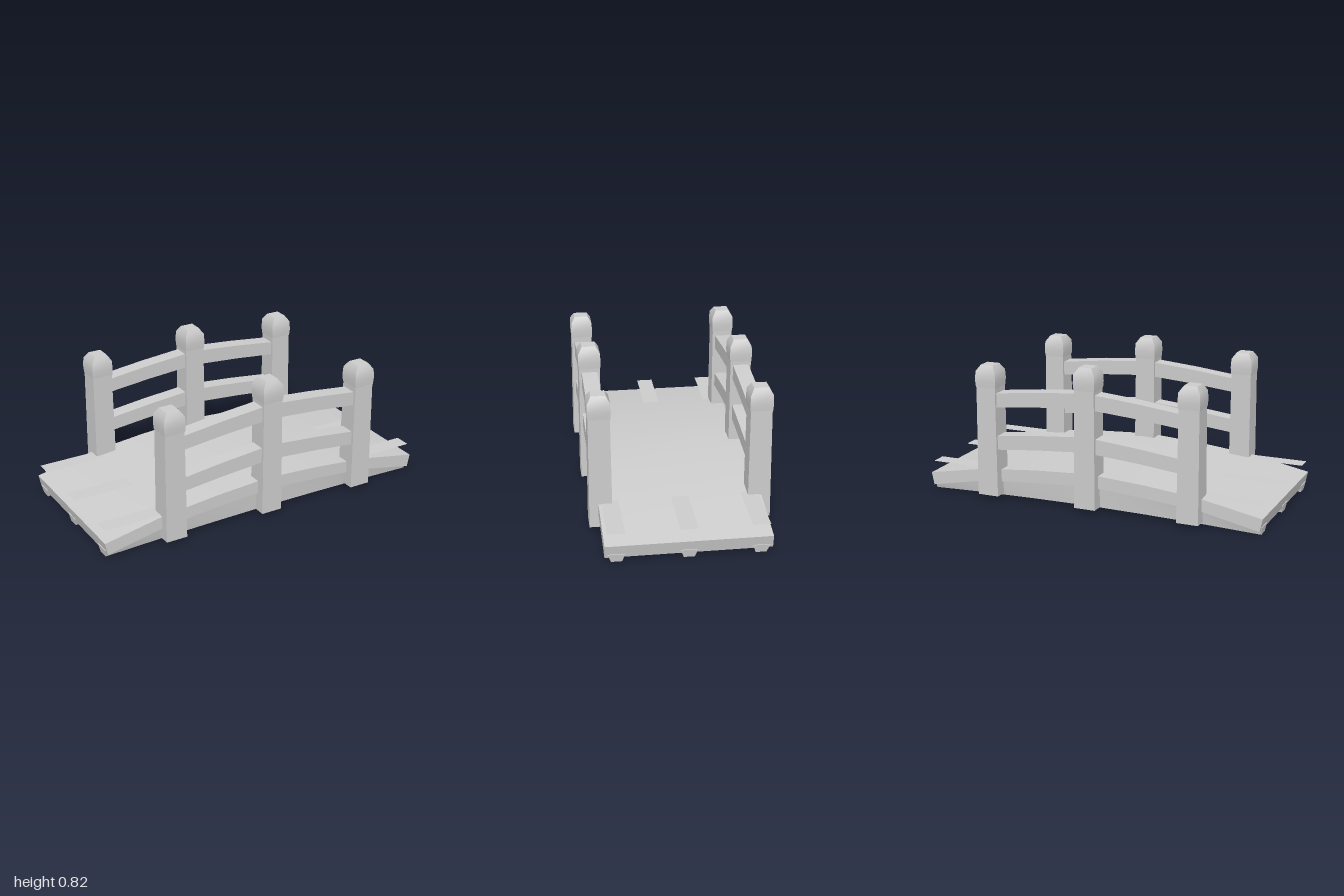
import * as THREE from 'three';
import { toCreasedNormals } from 'three/addons/utils/BufferGeometryUtils.js';

// Skin a row of rings (each counter-clockwise seen from the far end) and cap both ends.
function loft(rings, crease = 0.5) {
  const pos = [];
  const tri = (a, b, c) => pos.push(...a, ...b, ...c);
  const n = rings[0].length;
  for (let i = 0; i < rings.length - 1; i++) {
    for (let j = 0; j < n; j++) {
      const k = (j + 1) % n;
      tri(rings[i][j], rings[i][k], rings[i + 1][k]);
      tri(rings[i][j], rings[i + 1][k], rings[i + 1][j]);
    }
  }
  const first = rings[0], last = rings[rings.length - 1];
  for (let j = 1; j < n - 1; j++) {
    tri(first[0], first[j + 1], first[j]);
    tri(last[0], last[j], last[j + 1]);
  }
  const g = new THREE.BufferGeometry();
  g.setAttribute('position', new THREE.Float32BufferAttribute(pos, 3));
  return toCreasedNormals(g, crease);
}

// Mirror a half profile [x, ...values] about x = 0, giving rows from -x to +x.
const mirrorRows = (half) => [
  ...half.slice(1).reverse().map(([x, ...v]) => [-x, ...v]),
  ...half,
];

// Bar along x with a trapezoid section; lean pulls the lower corners of the tips inward.
function bar(rows, z, lean = 0) {
  return loft(rows.map(([x, top, bottom, halfTop, halfBottom = halfTop], i) => {
    const tip = i === 0 || i === rows.length - 1;
    const xb = tip ? x - Math.sign(x) * lean : x;
    return [
      [x, top, z - halfTop], [x, top, z + halfTop],
      [xb, bottom, z + halfBottom], [xb, bottom, z - halfBottom],
    ];
  }));
}

// Upright square column from rows of [y, half width x, half width z].
const column = (rows, crease) => loft(rows.map(([y, w, d]) => [
  [w, y, d], [w, y, -d], [-w, y, -d], [-w, y, d],
]), crease);

export function createModel() {
  const model = new THREE.Group();
  model.name = 'archedFootbridge';

  const stone = new THREE.MeshStandardMaterial({ color: 0xcccccc });
  stone.name = 'paleGrey';
  stone.side = THREE.DoubleSide;

  const add = (parent, name, geometry) => {
    const mesh = new THREE.Mesh(geometry, stone);
    mesh.name = name;
    parent.add(mesh);
    return mesh;
  };

  // Arched deck
  add(model, 'deck', bar(mirrorRows([
    [0, 0.217, 0.145, 0.44], [0.33, 0.197, 0.124, 0.44],
    [0.66, 0.164, 0.094, 0.44], [1, 0.1, 0.028, 0.44],
  ]), 0, 0.015));

  // Three support beams, each with a flat strip showing above the deck ends
  const beamRows = mirrorRows([
    [0, 0.15, 0.027, 0.047, 0.04], [0.33, 0.13, 0.023, 0.047, 0.038],
    [0.66, 0.1, 0.015, 0.047, 0.034], [0.993, 0.047, 0.002, 0.045, 0.029],
  ]);
  for (const z of [-0.378, 0, 0.378]) {
    add(model, 'supportBeam', bar(beamRows, z, 0.008));
    const strip = add(model, 'beamTopStrip', new THREE.PlaneGeometry(1.98, 0.094).rotateX(-Math.PI / 2));
    strip.position.set(0, 0.167, z);
  }

  // Railings along both sides
  const railHalf = [[0, 0.086, 0], [0.06, 0.086, -0.003], [0.3, 0.083, -0.021], [0.56, 0.08, -0.048]];
  for (const side of [-1, 1]) {
    const railing = new THREE.Group();
    railing.name = side > 0 ? 'frontRailing' : 'backRailing';
    railing.position.z = side * 0.428;
    model.add(railing);

    // Posts with bevelled caps
    for (const x of [-0.6, 0, 0.6]) {
      const post = new THREE.Group();
      post.name = 'post';
      post.position.x = x;
      railing.add(post);
      const top = x === 0 ? 0.7 : 0.66;
      add(post, 'postShaft', column([[0.03, 0.062, 0.062], [top, 0.058, 0.058]]));
      add(post, 'postCap', column([
        [top - 0.004, 0.06, 0.06], [top + 0.035, 0.063, 0.063],
        [top + 0.085, 0.06, 0.06], [top + 0.12, 0.037, 0.039],
      ], 0.7));
    }

    // Upper and lower curved rails
    for (const [name, y] of [['upperRail', 0.592], ['lowerRail', 0.347]]) {
      add(railing, name, bar(mirrorRows(
        railHalf.map(([x, h, dy]) => [x, y + dy + h, y + dy, 0.044]),
      ), 0));
    }
  }
  return model;
}
